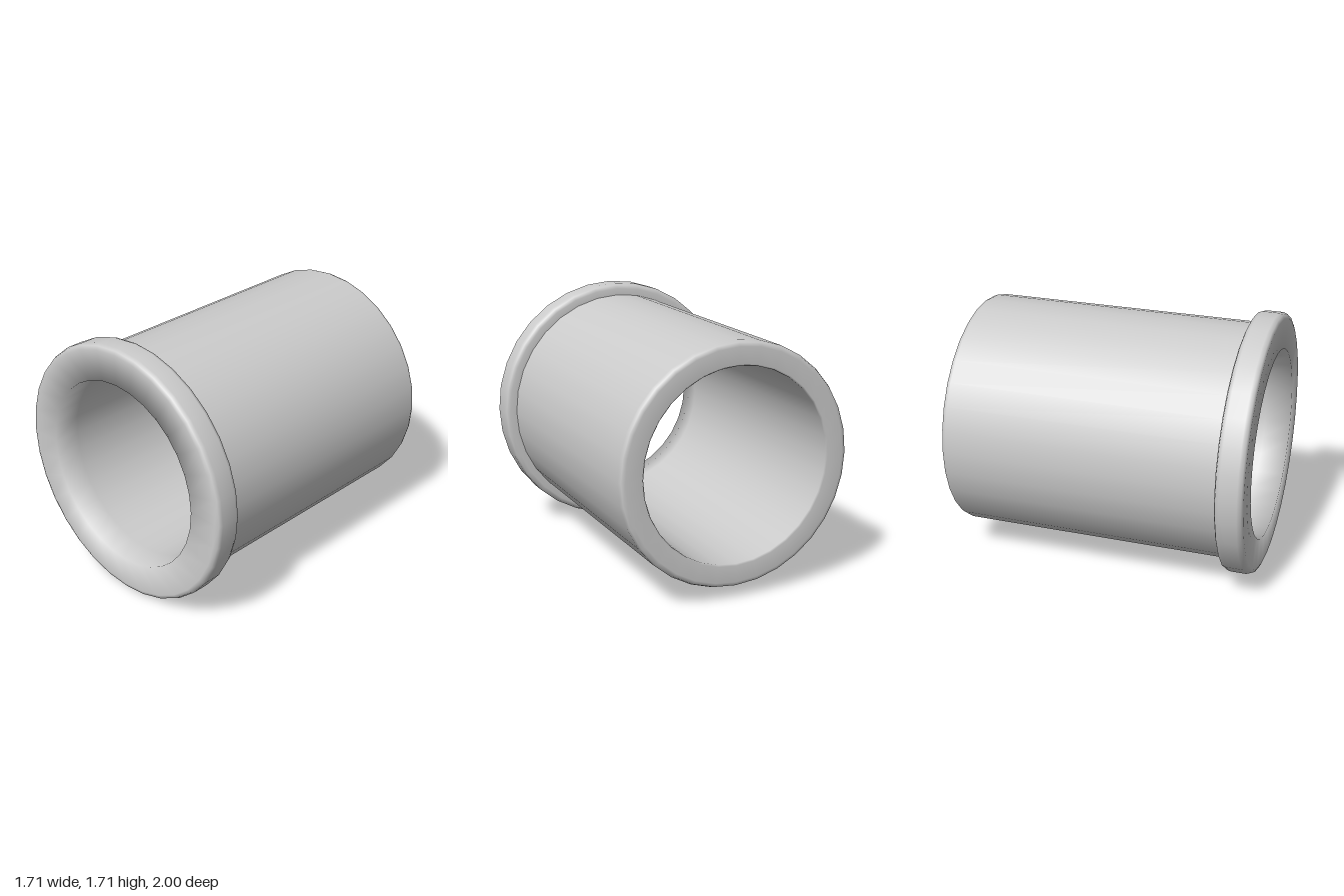
import * as THREE from 'three';

const SIDES = 32, BORE = 0.625, BARREL = 0.777, FLANGE = 0.857, STEP = 0.82, BEVEL = 0.035;

// Three points rounding a corner at (r, z); dr and dz point back into the solid
function bevel(r, z, dr, dz) {
  const b = BEVEL, k = BEVEL * 0.29;
  const points = [[r + dr * b, z], [r + dr * k, z + dz * k], [r, z + dz * b]];
  return points;
}

// Revolve a (radius, z) profile around the z axis
function revolve(name, profile, material) {
  const geometry = new THREE.LatheGeometry(profile.map(([r, z]) => new THREE.Vector2(r, z)), SIDES);
  geometry.rotateX(Math.PI / 2);
  const mesh = new THREE.Mesh(geometry, material);
  mesh.name = name;
  return mesh;
}

export function createModel() {
  const group = new THREE.Group();
  group.name = 'flangedSleeve';
  const grey = new THREE.MeshStandardMaterial({ color: 0xcccccc });
  grey.name = 'lightGrey';

  // Long tube: inner wall, rounded rear rim and outer wall
  group.add(revolve('barrel', [
    [BORE, STEP], [BORE, -0.99], [BORE + 0.01, -1],
    ...bevel(BARREL, -1, -1, 1),
    [BARREL, STEP],
  ], grey));

  // Wider front collar with rounded edges, open where it meets the barrel
  group.add(revolve('frontFlange', [
    [BARREL, STEP],
    ...bevel(FLANGE, STEP, -1, 1),
    ...bevel(FLANGE, 1, -1, -1).reverse(),
    [BORE, 1], [BORE, STEP],
  ], grey));

  group.position.y = FLANGE;
  const model = new THREE.Group();
  model.add(group);
  return model;
}
